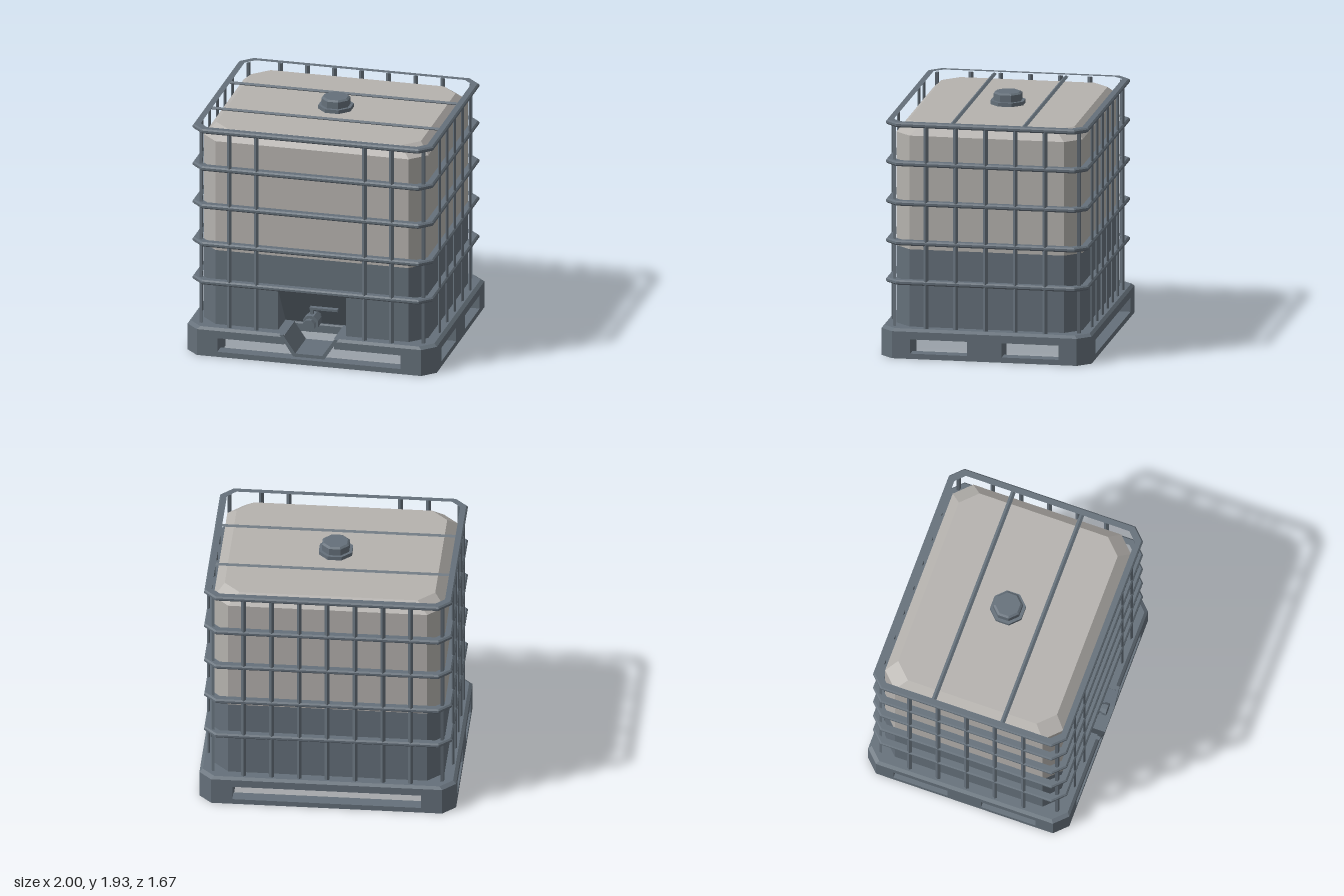
import * as THREE from 'three';

const steel = new THREE.MeshStandardMaterial({ color: 0x65707a });
steel.name = 'slateGrey';
const plastic = new THREE.MeshStandardMaterial({ color: 0xb5b2ae });
plastic.name = 'paleGrey';

// Gives every face its own flat normal
function flat(geo) {
  const g = geo.index ? geo.toNonIndexed() : geo;
  g.computeVertexNormals();
  return g;
}

// Rectangle with cut corners, as [x, z] points
function octagon(hx, hz, c) {
  return [[hx, c - hz], [hx, hz - c], [hx - c, hz], [c - hx, hz],
    [-hx, hz - c], [-hx, c - hz], [c - hx, -hz], [hx - c, -hz]];
}

// Same outline with a notch of half width w cut from the front back to z = d
function notched(hx, hz, c, w, d) {
  const p = octagon(hx, hz, c);
  p.splice(3, 0, [w, hz], [w, d], [-w, d], [-w, hz]);
  return p;
}

// Horizontal slab from a plan outline, standing between y0 and y1
function slab(points, y0, y1, { hole, bevel = 0, steps = 1 } = {}) {
  const toV = ([x, z]) => new THREE.Vector2(x, -z);
  const shape = new THREE.Shape(points.map(toV));
  if (hole) shape.holes.push(new THREE.Path(hole.map(toV)));
  const geo = new THREE.ExtrudeGeometry(shape, {
    depth: y1 - y0 - 2 * bevel, steps, bevelEnabled: bevel > 0,
    bevelThickness: bevel, bevelSize: bevel, bevelOffset: -bevel, bevelSegments: 1,
  });
  return geo.rotateX(-Math.PI / 2).translate(0, y0 + bevel, 0);
}

// Closed solid through octagon sections [y, hx, hz, corner]
function loft(sections) {
  const rings = sections.map(([y, hx, hz, c]) => octagon(hx, hz, c).map(([x, z]) => [x, y, z]));
  const pos = [];
  const tri = (a, b, c) => pos.push(...a, ...b, ...c);
  for (let r = 0; r < rings.length - 1; r++) {
    for (let i = 0; i < 8; i++) {
      const j = (i + 1) % 8, a = rings[r], b = rings[r + 1];
      tri(a[i], b[i], b[j]);
      tri(a[i], b[j], a[j]);
    }
  }
  const bottom = rings[0], top = rings[rings.length - 1];
  for (let i = 1; i < 7; i++) {
    tri(top[0], top[i + 1], top[i]);
    tri(bottom[0], bottom[i], bottom[i + 1]);
  }
  const geo = new THREE.BufferGeometry();
  geo.setAttribute('position', new THREE.Float32BufferAttribute(pos, 3));
  return flat(geo);
}

// Eight-sided drum with flats facing the axes
function drum(rTop, rBottom, h) {
  return flat(new THREE.CylinderGeometry(rTop, rBottom, h, 8).rotateY(Math.PI / 8));
}

export function createModel() {
  const model = new THREE.Group();
  model.name = 'liquidContainer';
  const group = (name) => {
    const g = new THREE.Group();
    g.name = name;
    model.add(g);
    return g;
  };
  const add = (parent, name, geo, mat = steel) => {
    const m = new THREE.Mesh(geo, mat);
    m.name = name;
    parent.add(m);
    return m;
  };

  // Pallet: deck with a sloped top rim and a notch for the spout
  const pallet = group('pallet');
  const deck = slab(notched(1, 0.83, 0.1, 0.2, 0.51), 0.155, 0.235, { steps: 4 });
  const dp = deck.attributes.position;
  for (let i = 0; i < dp.count; i++) {
    if (dp.getY(i) > 0.23) {
      dp.setX(i, dp.getX(i) * 0.975);
      dp.setZ(i, dp.getZ(i) * 0.975);
    }
  }
  add(pallet, 'deck', flat(deck));
  add(pallet, 'bottomRunner', slab(octagon(1, 0.83, 0.1), 0, 0.042, { hole: octagon(0.9, 0.73, 0.06) }));
  for (const sx of [1, -1]) {
    for (const sz of [1, -1]) {
      const outline = [[1, 0.585], [1, 0.73], [0.9, 0.83], [0.735, 0.83], [0.735, 0.585]];
      add(pallet, 'cornerLeg', slab(outline.map(([x, z]) => [x * sx, z * sz]), 0, 0.16));
    }
    add(pallet, 'middleLeg', new THREE.BoxGeometry(0.2, 0.16, 0.275)).position.set(sx * 0.9, 0.08, 0);
  }

  // Tank: filled lower half with a sloping valve recess, empty upper half
  const tank = group('tank');
  add(tank, 'lowerTankBase', slab(notched(0.9, 0.735, 0.125, 0.272, 0.51), 0.23, 0.565));
  add(tank, 'lowerTankTop', slab(octagon(0.9, 0.735, 0.125), 0.565, 0.85));
  const slope = new THREE.Shape([[-0.51, 0.235], [-0.735, 0.565], [-0.51, 0.565]]
    .map(([x, y]) => new THREE.Vector2(x, y)));
  add(tank, 'valveRecessSlope', new THREE.ExtrudeGeometry(slope, { depth: 0.544, bevelEnabled: false })
    .translate(0, 0, -0.272).rotateY(Math.PI / 2));
  add(tank, 'upperTank', loft([[0.85, 0.9, 0.735, 0.125], [1.755, 0.9, 0.735, 0.125],
    [1.835, 0.82, 0.655, 0.125]]), plastic);

  // Filler cap
  const cap = group('fillerCap');
  add(cap, 'capFlange', drum(0.14, 0.14, 0.04)).position.y = 1.845;
  add(cap, 'capBody', drum(0.115, 0.115, 0.055)).position.y = 1.8925;
  add(cap, 'capTop', drum(0.098, 0.115, 0.012)).position.y = 1.926;

  // Cage: hoops, uprights and two bars across the top
  const cage = group('cage');
  for (const y of [0.595, 0.91, 1.225, 1.54, 1.85]) {
    add(cage, 'hoop', slab(octagon(0.965, 0.8, 0.095), y - 0.019, y + 0.019,
      { hole: octagon(0.92, 0.755, 0.076), bevel: 0.011 }));
  }
  const barGeo = flat(new THREE.CylinderGeometry(1, 1, 1, 4));
  const upright = (x, z, turn) => {
    const bar = add(cage, 'upright', barGeo);
    bar.scale.set(0.019, 1.62, 0.012);
    bar.position.set(x, 1.04, z);
    bar.rotation.y = turn;
  };
  for (let i = -3; i <= 3; i++) {
    upright(i * 0.217, -0.785, 0);
    if (Math.abs(i) > 1) upright(i * 0.217, 0.785, 0);
  }
  for (const sx of [1, -1]) {
    for (let i = -2; i <= 2; i++) upright(sx * 0.952, i * 0.235, Math.PI / 2);
    for (const sz of [1, -1]) upright(sx * 0.893, sz * 0.728, sx * sz * Math.PI / 4);
  }
  for (const z of [-0.285, 0.28]) {
    const bar = add(cage, 'topBar', barGeo);
    bar.scale.set(0.012, 1.85, 0.019);
    bar.rotation.z = Math.PI / 2;
    bar.position.set(0, 1.848, z);
  }

  // Outlet valve with a lever
  const valve = group('outletValve');
  for (const [name, r, z0, z1] of [['valvePipe', 0.042, 0.52, 0.8], ['valveCollar', 0.066, 0.66, 0.765],
    ['valveEnd', 0.05, 0.79, 0.825]]) {
    add(valve, name, drum(r, r, z1 - z0).rotateX(Math.PI / 2)).position.set(-0.005, 0.325, (z0 + z1) / 2);
  }
  add(valve, 'leverStem', new THREE.BoxGeometry(0.025, 0.08, 0.03)).position.set(-0.008, 0.4, 0.71);
  add(valve, 'lever', new THREE.BoxGeometry(0.225, 0.018, 0.04)).position.set(0.09, 0.434, 0.71);

  // Drip spout: open trough running out through the deck notch
  const trough = new THREE.Shape([[-0.235, 0.235], [-0.125, 0.065], [0.125, 0.065], [0.235, 0.235],
    [0.205, 0.235], [0.108, 0.092], [-0.108, 0.092], [-0.205, 0.235]]
    .map(([x, y]) => new THREE.Vector2(x, y)));
  add(model, 'dripSpout', new THREE.ExtrudeGeometry(trough, { depth: 0.33, bevelEnabled: false })
    .translate(0, 0, 0.508));

  return model;
}
